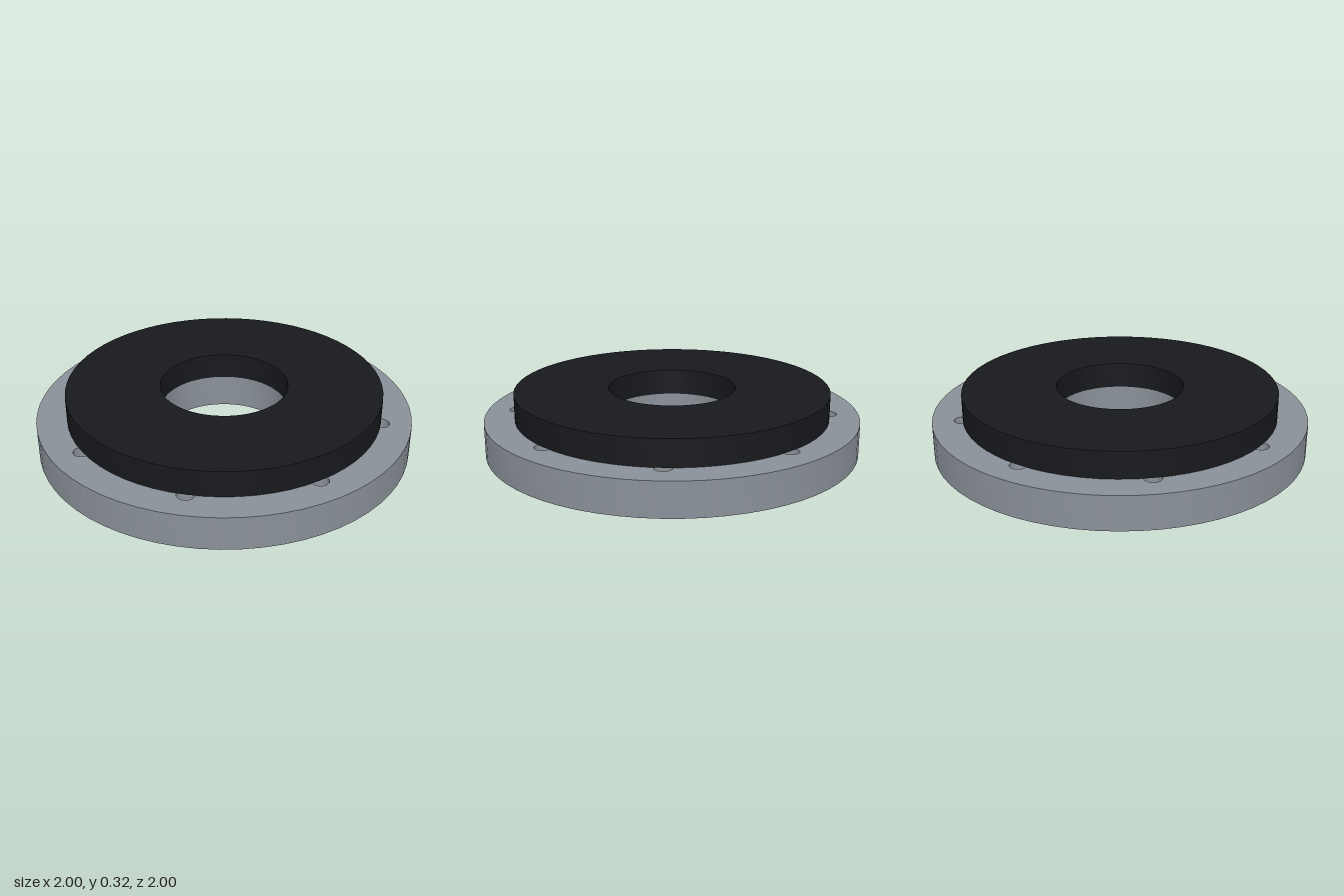
import * as THREE from 'three';
import { toCreasedNormals } from 'three/addons/utils/BufferGeometryUtils.js';

const BORE = 0.34;

// Flat ring standing on y = bottom, with extra round holes cut through it
function ring(name, color, outer, inner, bottom, top, holes = []) {
  const shape = new THREE.Shape().absarc(0, 0, outer, 0, Math.PI * 2, false);
  for (const [x, y, r] of [[0, 0, inner], ...holes]) {
    shape.holes.push(new THREE.Path().absarc(x, y, r, 0, Math.PI * 2, true));
  }
  const extruded = new THREE.ExtrudeGeometry(shape, {
    depth: top - bottom, bevelEnabled: false, curveSegments: 32,
  });
  extruded.rotateX(-Math.PI / 2).translate(0, bottom, 0);
  const mesh = new THREE.Mesh(
    toCreasedNormals(extruded, Math.PI / 5),
    new THREE.MeshStandardMaterial({ color }),
  );
  mesh.name = name;
  return mesh;
}

export function createModel() {
  const model = new THREE.Group();
  model.name = 'flange';

  // Bolt circle: eight holes, half covered by the facing above
  const boltHoles = Array.from({ length: 8 }, (_, i) => {
    const a = (i * Math.PI) / 4;
    return [0.84 * Math.cos(a), 0.84 * Math.sin(a), 0.045];
  });

  model.add(
    ring('basePlate', 0x8a9199, 1, BORE, 0, 0.18, boltHoles),
    // Core inside the plate and facing, inset a hair so no faces coincide
    ring('hubCore', 0x747a84, 0.79, BORE + 0.002, 0.002, 0.318),
    ring('raisedFacing', 0x17191d, 0.84, BORE, 0.18, 0.32),
  );
  return model;
}
